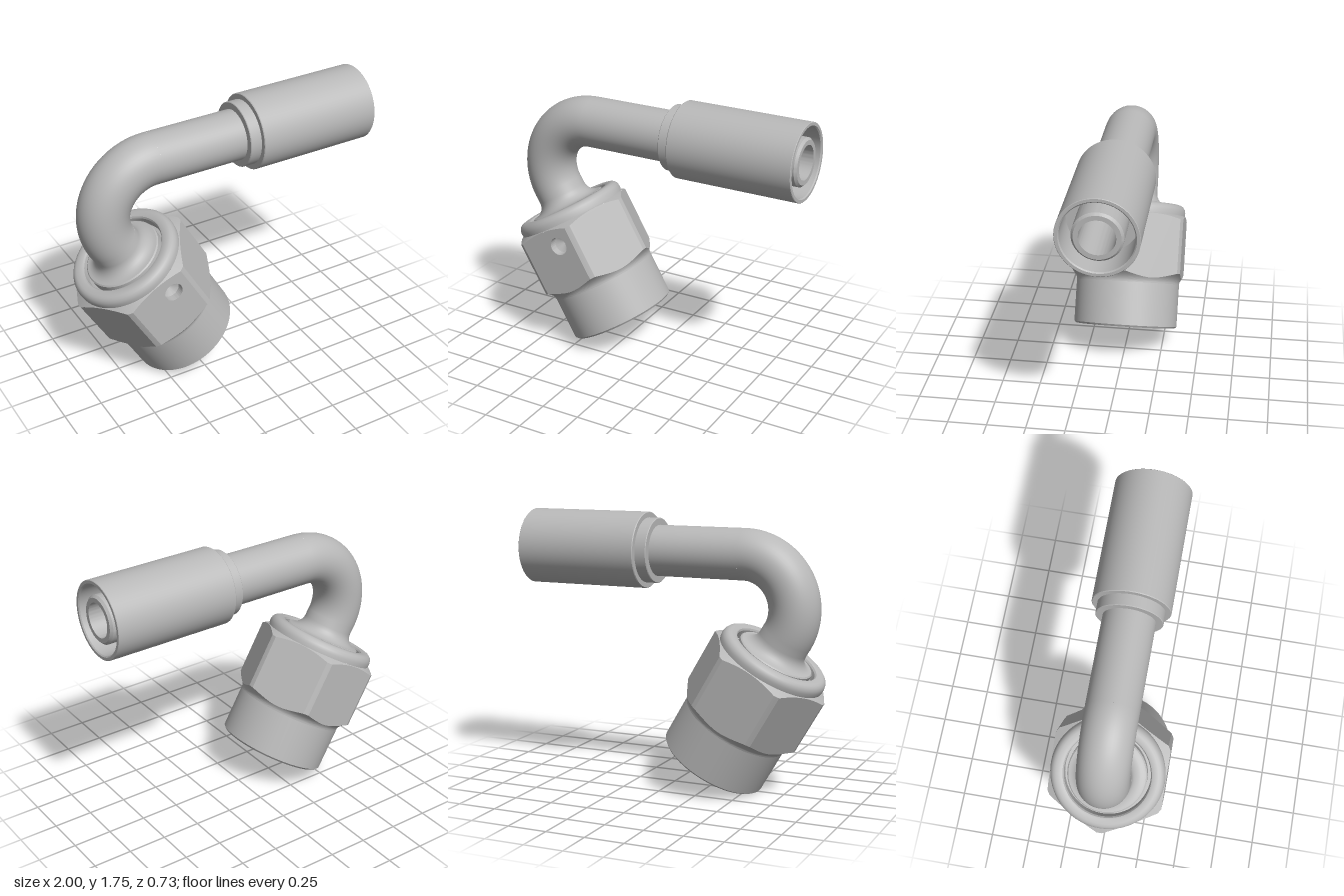
import * as THREE from 'three';
import { toCreasedNormals } from 'three/addons/utils/BufferGeometryUtils.js';

const APOTHEM = 0.365;
const DEG = Math.PI / 180;
const CORNER = APOTHEM / Math.cos(27.5 * DEG); // radius of the trimmed hex corners

const steel = new THREE.MeshStandardMaterial({ color: 0xb8b8b8 });
steel.name = 'steel grey';

function add(parent, name, geometry) {
  const mesh = new THREE.Mesh(geometry, steel);
  mesh.name = name;
  parent.add(mesh);
  return mesh;
}

// Turned part from [radius, height] points, outside running upwards
function turned(points) {
  const profile = points.map(([r, y]) => new THREE.Vector2(r, y));
  return toCreasedNormals(new THREE.LatheGeometry(profile, 96), 0.5);
}

// Heights of the chamfers where they meet the hexagon, by radius
const lowerChamfer = (r) => 0.3 + 0.07 * Math.sqrt(Math.max(0, r - 0.35) / 0.062);
const upperChamfer = (r) => 0.765 - (r - 0.36) * 0.57;

// Turned chamfer whose outer border follows the hexagon
function hexChamfer(inner, height, upper) {
  const around = 144, rows = 8, pos = [], index = [];
  for (let j = 0; j <= rows; j++) {
    const t = ((upper ? rows - j : j) / rows) ** 2;
    for (let i = 0; i <= around; i++) {
      const a = i * 2.5;
      const off = ((a + 30) % 60) - 30;
      const edge = Math.min(CORNER, APOTHEM / Math.cos(off * DEG));
      const r = inner + t * (edge - inner);
      pos.push(r * Math.sin(a * DEG), height(r), r * Math.cos(a * DEG));
      if (i < around && j < rows) {
        const p = j * (around + 1) + i, q = p + around + 1;
        index.push(p, p + 1, q + 1, p, q + 1, q);
      }
    }
  }
  const g = new THREE.BufferGeometry();
  g.setAttribute('position', new THREE.Float32BufferAttribute(pos, 3));
  g.setIndex(index);
  return toCreasedNormals(g, 0.5);
}

// One hexagon flat with curved ends, optionally drilled
function flat(hole) {
  const w = APOTHEM * Math.tan(27.5 * DEG), n = 22, pts = [];
  for (let i = 0; i <= n; i++) {
    const t = -w + (2 * w * i) / n;
    pts.push(new THREE.Vector2(t, lowerChamfer(Math.hypot(APOTHEM, t))));
  }
  for (let i = n; i >= 0; i--) {
    const t = -w + (2 * w * i) / n;
    pts.push(new THREE.Vector2(t, upperChamfer(Math.hypot(APOTHEM, t))));
  }
  const shape = new THREE.Shape(pts);
  if (hole) shape.holes.push(new THREE.Path().absarc(hole.x, hole.y, hole.r, 0, Math.PI * 2, true));
  return new THREE.ShapeGeometry(shape, 24).translate(0, 0, APOTHEM);
}

function makeNut() {
  const nut = new THREE.Group();
  nut.name = 'swivelNut';

  // Threaded skirt with its bore and inner seat
  add(nut, 'nutSkirt', turned([
    [0, 0.9], [0.12, 0.84], [0.12, 0.56], [0.15, 0.52], [0.2, 0.52], [0.23, 0.56],
    [0.245, 0.56], [0.245, 0.48], [0.265, 0.46], [0.265, 0.03], [0.305, 0],
    [0.338, 0], [0.35, 0.012], [0.35, 0.3],
  ]));

  // Hexagon
  add(nut, 'lowerChamfer', hexChamfer(0.35, lowerChamfer, false));
  add(nut, 'upperChamfer', hexChamfer(0.36, upperChamfer, true));
  const hole = { x: 0.078, y: 0.64, r: 0.06 };
  const bottom = lowerChamfer(CORNER), top = upperChamfer(CORNER);
  for (let k = 0; k < 6; k++) {
    add(nut, 'hexFlat', flat(k === 0 ? hole : null)).rotation.y = k * 60 * DEG;
    const strip = new THREE.CylinderGeometry(CORNER, CORNER, top - bottom, 2, 1, true,
      (27.5 + 60 * k) * DEG, 5 * DEG);
    add(nut, 'hexCorner', strip.translate(0, (top + bottom) / 2, 0));
  }

  // Drilled hole in the front flat
  const drill = add(nut, 'drilledHole', turned([[hole.r, 0], [hole.r, -0.05], [0, -0.085]].map(([r, y]) => [r, y])));
  drill.rotation.x = Math.PI / 2;
  drill.position.set(hole.x, hole.y, APOTHEM);

  // Rounded collar on top of the hexagon
  add(nut, 'nutCollar', turned([
    [0.36, 0.765], [0.362, 0.79], [0.358, 0.81], [0.348, 0.826], [0.335, 0.836], [0.32, 0.84],
    [0.29, 0.84], [0.279, 0.836], [0.272, 0.825], [0.27, 0.77], [0.24, 0.77],
  ]));

  // Tube shoulder flaring into the nut
  const flare = [[0.25, 0.77], [0.25, 0.828]];
  for (let i = 0; i <= 8; i++) {
    const a = (i / 8) * Math.PI / 2;
    flare.push([0.242 - 0.08 * Math.sin(a), 0.915 - 0.08 * Math.cos(a)]);
  }
  flare.push([0.162, 0.97]);
  add(nut, 'tubeShoulder', turned(flare));
  return nut;
}

export function createModel() {
  const model = new THREE.Group();
  model.name = 'hoseElbowFitting';

  // Nut, tilted to follow the lower end of the bend
  const nut = makeNut();
  nut.position.set(-0.272, 0.187, 0);
  nut.rotation.z = 30 * DEG;
  model.add(nut);

  // Bent tube
  const bend = add(model, 'tubeBend', new THREE.TorusGeometry(0.33, 0.162, 48, 64, 120 * DEG));
  bend.position.set(-0.472, 1.19, 0);
  bend.rotation.z = Math.PI / 2;
  const straight = add(model, 'tubeStraight', new THREE.CylinderGeometry(0.162, 0.162, 0.6, 64, 1, true));
  straight.position.set(-0.172, 1.52, 0);
  straight.rotation.z = -Math.PI / 2;

  // Hose end, turned along +x
  const hoseEnd = new THREE.Group();
  hoseEnd.name = 'hoseEnd';
  hoseEnd.position.y = 1.52;
  hoseEnd.rotation.z = -Math.PI / 2;
  model.add(hoseEnd);
  add(hoseEnd, 'collar', turned([[0.155, 0.11], [0.203, 0.11], [0.207, 0.114], [0.207, 0.19]]));
  add(hoseEnd, 'sleeve', turned([
    [0.2, 0.185], [0.239, 0.185], [0.243, 0.19], [0.243, 0.997], [0.24, 1],
    [0.222, 1], [0.215, 0.993], [0.215, 0.75], [0.14, 0.75],
  ]));
  add(hoseEnd, 'nipple', turned([
    [0.15, 0.75], [0.15, 0.98], [0.136, 0.995], [0.107, 0.995], [0.107, 0.6], [0, 0.5],
  ]));
  return model;
}
